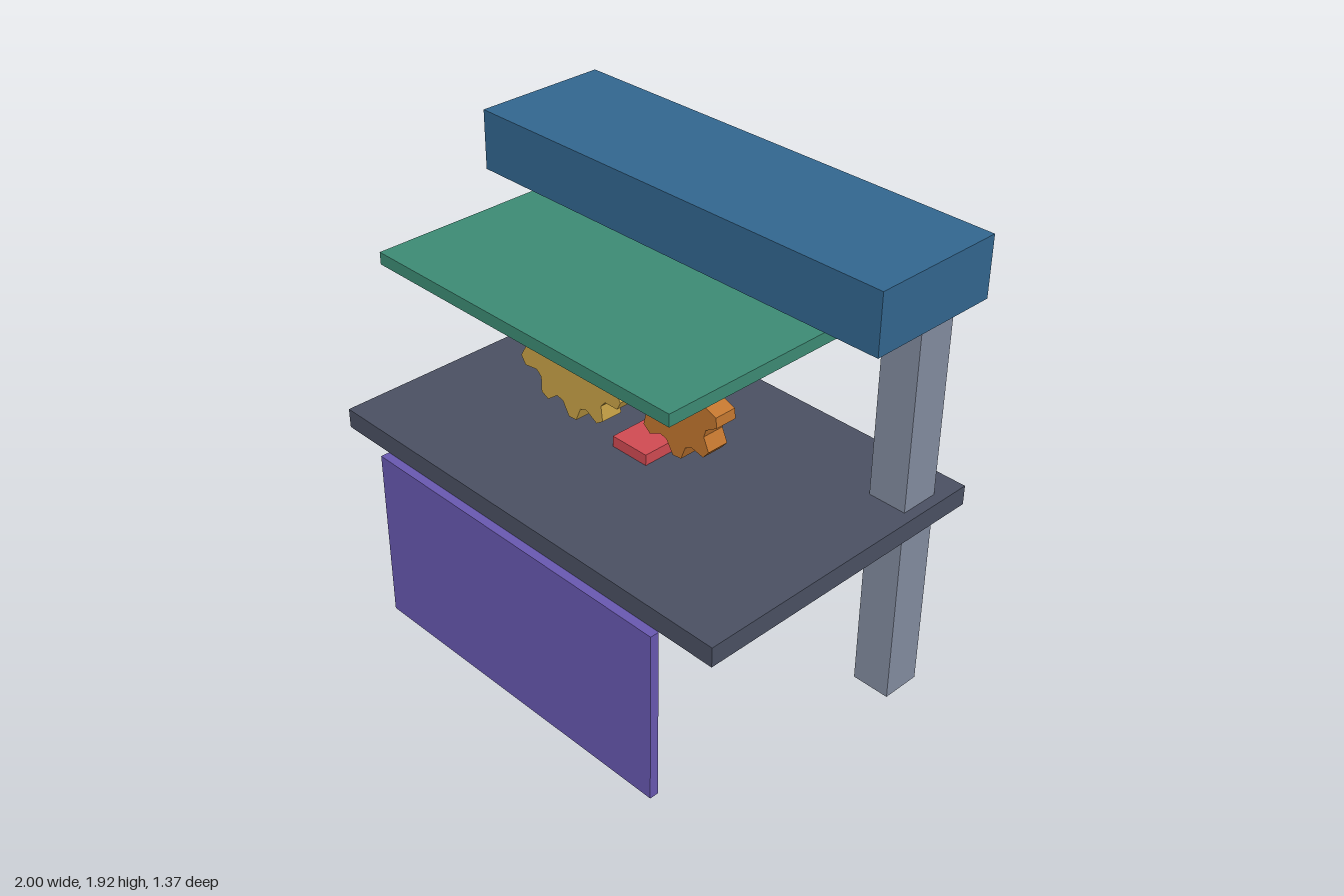
import * as THREE from 'three';

const mat = (color) => new THREE.MeshStandardMaterial({ color, flatShading: true });

// Box given by its extents along each axis
function box(name, color, [x0, x1], [y0, y1], [z0, z1]) {
  const mesh = new THREE.Mesh(new THREE.BoxGeometry(x1 - x0, y1 - y0, z1 - z0), mat(color));
  mesh.position.set((x0 + x1) / 2, (y0 + y1) / 2, (z0 + z1) / 2);
  mesh.name = name;
  return mesh;
}

// Gear outline: two tip points then two root points for each tooth
function gear(name, color, teeth, tip, root, x, y) {
  const points = [];
  for (let i = 0; i < teeth * 4; i++) {
    const a = (i / (teeth * 4)) * Math.PI * 2;
    const r = i % 4 < 2 ? tip : root;
    points.push(new THREE.Vector2(r * Math.cos(a), r * Math.sin(a)));
  }
  const geometry = new THREE.ExtrudeGeometry(new THREE.Shape(points), { depth: 0.095, bevelEnabled: false });
  const mesh = new THREE.Mesh(geometry, mat(color));
  mesh.position.set(x, y, 0.02);
  mesh.name = name;
  return mesh;
}

export function createModel() {
  const group = new THREE.Group();
  group.name = 'gearBench';

  // Frame: two posts, top beam and table
  group.add(box('leftPost', 0x838ca0, [0.79, 0.955], [0, 1.67], [-0.56, -0.39]));
  group.add(box('rightPost', 0x838ca0, [-0.955, -0.79], [0, 1.67], [-0.56, -0.39]));
  group.add(box('topBeam', 0x32668f, [-1, 1], [1.67, 1.92], [-0.685, -0.103]));
  group.add(box('tableTop', 0x4a5062, [-1, 1], [0.797, 0.88], [-0.685, 0.647]));

  // Thin panels: canopy above the gears and apron at the front
  group.add(box('canopy', 0x3d8b74, [-0.75, 0.75], [1.605, 1.655], [-0.395, 0.607]));
  group.add(box('frontApron', 0x6858b0, [-0.75, 0.75], [0.047, 0.797], [0.647, 0.685]));

  // Block passing through the table
  group.add(box('tableBlock', 0xd04a52, [-0.09, 0.09], [0.747, 0.927], [-0.108, 0.075]));

  // Pair of gears
  group.add(gear('largeGear', 0xc9a347, 12, 0.315, 0.26, -0.295, 1.253));
  group.add(gear('smallGear', 0xc2762f, 8, 0.216, 0.167, 0.273, 1.253));

  return group;
}
